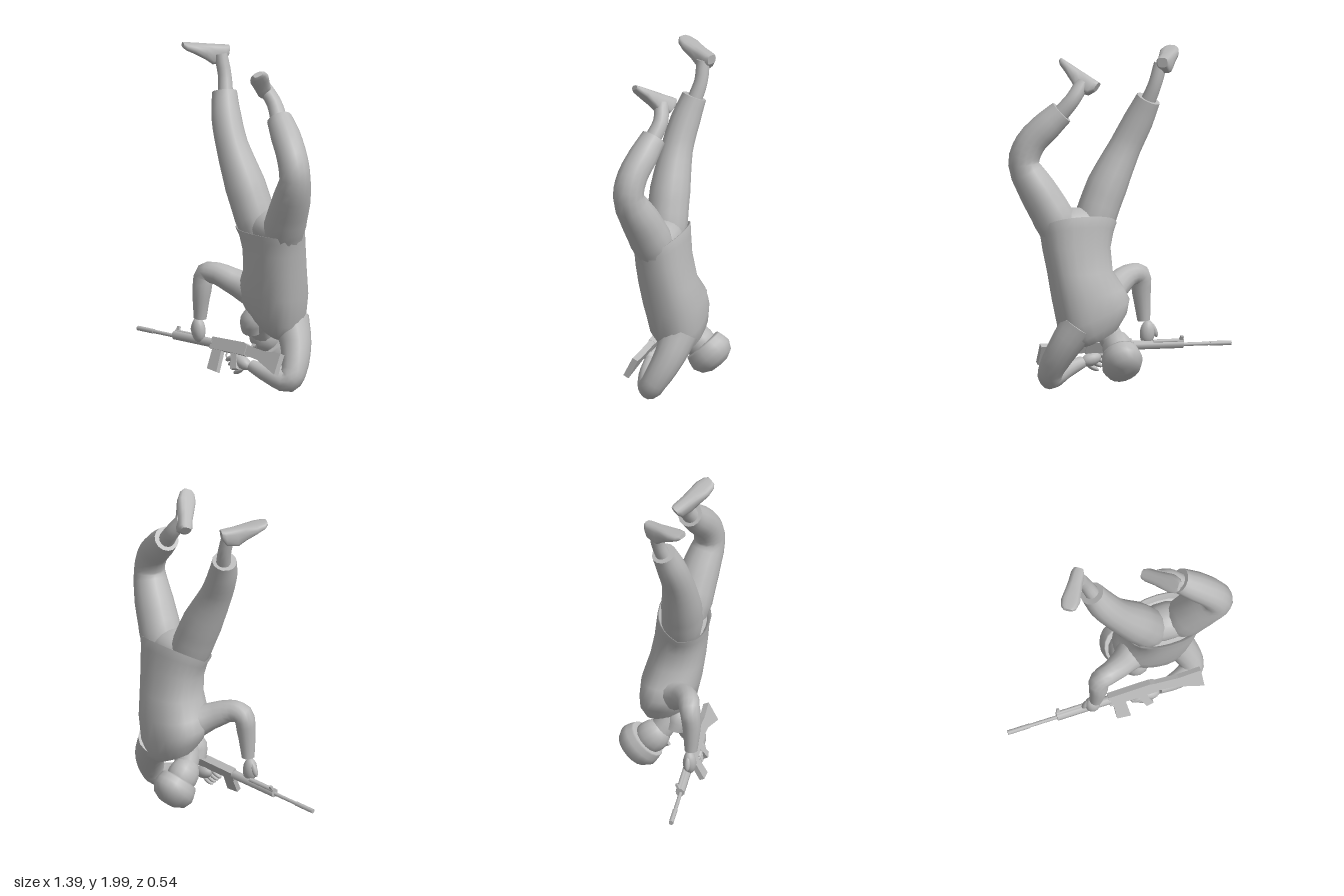
import * as THREE from 'three';

const V = (x, y, z) => new THREE.Vector3(x, y, z);
const mat = new THREE.MeshStandardMaterial({ color: 0xb9b9b9 });
mat.name = 'plain grey';

// Closed skin over a list of rings (each an array of points)
function skin(rings) {
  const n = rings[0].length, pos = [], idx = [];
  rings.forEach(r => r.forEach(p => pos.push(p.x, p.y, p.z)));
  for (let i = 0; i < rings.length - 1; i++) {
    for (let j = 0; j < n; j++) {
      const a = i * n + j, b = i * n + (j + 1) % n;
      idx.push(a, a + n, b, a + n, b + n, b);
    }
  }
  [rings[0], rings[rings.length - 1]].forEach((ring, end) => {
    const base = pos.length / 3, c = V(0, 0, 0);
    ring.forEach(p => { c.addScaledVector(p, 1 / n); pos.push(p.x, p.y, p.z); });
    pos.push(c.x, c.y, c.z);
    for (let j = 0; j < n; j++) {
      const a = base + j, b = base + (j + 1) % n;
      idx.push(base + n, end ? b : a, end ? a : b);
    }
  });
  const g = new THREE.BufferGeometry();
  g.setAttribute('position', new THREE.Float32BufferAttribute(pos, 3));
  g.setIndex(idx);
  g.computeVertexNormals();
  return g;
}

// Round limb through stations [x, y, z, radius]
function limb(st, sides = 14, sub = 3) {
  const curve = new THREE.CatmullRomCurve3(st.map(s => V(s[0], s[1], s[2])));
  const steps = (st.length - 1) * sub, rings = [];
  for (let i = 0; i <= steps; i++) {
    const u = i / steps, k = Math.min(Math.floor(i / sub), st.length - 2);
    const r = THREE.MathUtils.lerp(st[k][3], st[k + 1][3], i / sub - k);
    const c = curve.getPoint(u), t = curve.getTangent(u);
    const side = t.clone().cross(V(0, 0, 1)).normalize(), up = side.clone().cross(t);
    rings.push(Array.from({ length: sides }, (_, j) => {
      const a = j / sides * Math.PI * 2;
      return c.clone().addScaledVector(side, r * Math.cos(a)).addScaledVector(up, r * Math.sin(a));
    }));
  }
  return skin(rings);
}

const soft = (v, e) => Math.sign(v) * Math.abs(v) ** e;

// Torso rings: centre, half width, half depth, slope across x, rise towards the back
function torso(st, sides = 24) {
  return skin(st.map(([x, y, z, rx, rz, sx, rise]) => Array.from({ length: sides }, (_, j) => {
    const a = j / sides * Math.PI * 2;
    const dx = rx * soft(Math.cos(a), 0.85), dz = -rz * soft(Math.sin(a), 0.85);
    return V(x + dx, y + sx * dx - rise * Math.min(dz, 0), z + dz);
  })));
}

// Shoe from heel to toe, with the sole facing along soleDir
function shoe(heel, toe, soleDir) {
  const f = toe.clone().sub(heel), t = f.clone().normalize();
  const up = soleDir.clone().addScaledVector(t, -soleDir.dot(t)).normalize().negate();
  const side = up.clone().cross(t).negate();
  const rows = [[0, 0.03, 0.06], [0.08, 0.042, 0.1], [0.32, 0.045, 0.12], [0.5, 0.05, 0.09],
    [0.75, 0.057, 0.06], [0.93, 0.046, 0.042], [1, 0.028, 0.028]];
  return skin(rows.map(([u, w, h]) => Array.from({ length: 14 }, (_, j) => {
    const a = j / 14 * Math.PI * 2;
    return heel.clone().addScaledVector(f, u).addScaledVector(side, w * soft(Math.cos(a), 0.7))
      .addScaledVector(up, h * (0.5 + 0.5 * soft(Math.sin(a), 0.7)));
  })));
}

export function createModel() {
  const model = new THREE.Group();
  const add = (name, geo, parent = model, p = [0, 0, 0], r = [0, 0, 0], s = [1, 1, 1]) => {
    const m = new THREE.Mesh(geo, mat);
    m.name = name;
    m.position.set(...p); m.rotation.set(...r); m.scale.set(...s);
    parent.add(m);
    return m;
  };
  const ball = new THREE.SphereGeometry(1, 14, 10);

  // Jacket, hem at the top, shoulders at the bottom
  add('jacket', torso([
    [0.305, 0.93, 0.07, 0.205, 0.125, 0, 0.6],
    [0.305, 0.955, 0.07, 0.228, 0.143, 0, 0.62],
    [0.305, 0.955, 0.07, 0.237, 0.15, 0, 0.62],
    [0.309, 0.91, 0.06, 0.217, 0.149, 0, 0.5],
    [0.315, 0.83, 0.05, 0.2, 0.153, 0, 0.25],
    [0.302, 0.71, 0.03, 0.192, 0.163, 0, 0],
    [0.262, 0.58, 0.002, 0.212, 0.174, -0.15, 0],
    [0.232, 0.46, -0.015, 0.212, 0.162, -0.4, 0],
    [0.22, 0.38, -0.035, 0.18, 0.135, -0.5, 0],
    [0.205, 0.325, -0.045, 0.11, 0.085, -0.5, 0],
  ]));

  // Trousers
  add('rightTrouserLeg', limb([[0.225, 0.9, 0.07, 0.105], [0.185, 1.02, 0.08, 0.122], [0.11, 1.2, 0.09, 0.12],
    [0.0, 1.42, 0.09, 0.095], [-0.075, 1.58, 0.065, 0.088], [-0.125, 1.71, 0.03, 0.073]]));
  add('leftTrouserLeg', limb([[0.4, 0.9, 0.06, 0.11], [0.445, 1.02, 0.085, 0.125], [0.53, 1.18, 0.12, 0.115],
    [0.605, 1.34, 0.16, 0.092], [0.57, 1.46, 0.15, 0.09], [0.48, 1.565, 0.115, 0.088], [0.395, 1.65, 0.085, 0.075]]));
  add('trouserSeat', ball, model, [0.31, 0.97, 0.065], [0, 0, 0], [0.18, 0.11, 0.115]);

  // Ankles and shoes
  add('rightAnkle', limb([[-0.115, 1.68, 0.03, 0.045], [-0.155, 1.8, 0.0, 0.04], [-0.19, 1.92, 0.0, 0.04]]));
  add('leftAnkle', limb([[0.4, 1.64, 0.09, 0.05], [0.33, 1.73, 0.065, 0.045], [0.265, 1.82, 0.085, 0.042]]));
  add('rightShoe', shoe(V(-0.18, 1.965, -0.06), V(-0.32, 1.995, 0.18), V(0, 1, 0)));
  add('leftShoe', shoe(V(0.175, 1.82, 0.035), V(0.345, 1.945, 0.22), V(-0.65, 0.7, -0.1)));

  // Arms
  add('rightSleeve', limb([[0.14, 0.55, 0.03, 0.11], [0.05, 0.595, 0.1, 0.08], [-0.05, 0.642, 0.16, 0.066],
    [-0.125, 0.635, 0.185, 0.062], [-0.14, 0.53, 0.2, 0.056], [-0.155, 0.36, 0.2, 0.038]]));
  add('leftSleeve', limb([[0.34, 0.4, -0.06, 0.11], [0.42, 0.27, -0.025, 0.092], [0.475, 0.125, 0.045, 0.075],
    [0.465, 0.075, 0.08, 0.072], [0.36, 0.102, 0.135, 0.053], [0.24, 0.14, 0.165, 0.036]]));

  // Hands
  add('rightHand', ball, model, [-0.175, 0.285, 0.195], [0, 0, 0.1], [0.045, 0.075, 0.04]);
  add('rightThumb', ball, model, [-0.215, 0.3, 0.19], [0, 0, -0.4], [0.018, 0.045, 0.018]);
  add('leftHand', ball, model, [0.18, 0.15, 0.18], [0, 0, -0.3], [0.065, 0.04, 0.04]);
  for (let i = 0; i < 4; i++) {
    add('leftFinger', ball, model, [0.1 + i * 0.022, 0.165 - i * 0.022, 0.195], [0, 0, 0.5], [0.045, 0.015, 0.022]);
  }

  // Neck, head and helmet tilted backwards
  add('neck', limb([[0.2, 0.44, -0.01, 0.09], [0.15, 0.36, 0.0, 0.075], [0.11, 0.26, -0.06, 0.07]]));
  add('collar', limb([[0.17, 0.44, 0.05, 0.05], [0.14, 0.38, 0.065, 0.068], [0.12, 0.31, 0.045, 0.06]]));
  const head = new THREE.Group();
  head.name = 'head';
  head.position.set(0.105, 0.232, -0.11);
  head.rotation.x = -Math.PI * 0.75;
  model.add(head);
  add('face', ball, head, [0, -0.03, -0.005], [0, 0, 0], [0.09, 0.115, 0.1]);
  add('nose', new THREE.ConeGeometry(0.018, 0.05, 6), head, [0, -0.05, -0.1]);
  const dome = [[0, 0], [0.108, 0], [0.113, 0.01], [0.122, 0.045], [0.127, 0.08], [0.103, 0.128],
    [0.055, 0.155], [0, 0.16]].map(p => new THREE.Vector2(...p));
  add('helmet', new THREE.LatheGeometry(dome, 18), head, [0, 0, 0], [0, 0, 0], [0.95, 1, 1.12]);

  // Rifle, canted so its magazine leans forward
  const rifle = new THREE.Group();
  rifle.name = 'rifle';
  rifle.position.set(0, 0.222, 0.175);
  rifle.rotation.set(-0.45, 0, 0.03);
  model.add(rifle);
  const plate = (pts, depth) => {
    const g = new THREE.ExtrudeGeometry(new THREE.Shape(pts.map(p => new THREE.Vector2(...p))),
      { depth, bevelEnabled: false });
    return g.translate(0, 0, -depth / 2);
  };
  const tube = (name, x0, x1, r, y = 0) => add(name, new THREE.CylinderGeometry(r, r, x1 - x0, 8), rifle,
    [(x0 + x1) / 2, y, 0], [0, 0, Math.PI / 2]);
  tube('barrel', -0.693, -0.36, 0.011, -0.006);
  tube('muzzle', -0.693, -0.56, 0.014, -0.006);
  tube('handguard', -0.39, -0.06, 0.027);
  tube('gasTube', -0.39, -0.2, 0.012, 0.022);
  add('frontSight', plate([[-0.39, 0.01], [-0.36, 0.01], [-0.368, 0.055], [-0.385, 0.055]], 0.014), rifle);
  add('receiver', plate([[-0.07, -0.035], [0.22, -0.035], [0.22, 0.03], [0.19, 0.04], [-0.07, 0.035]], 0.045), rifle);
  add('magazine', plate([[-0.05, -0.03], [0.025, -0.03], [0.038, -0.165], [-0.045, -0.155]], 0.03), rifle);
  add('pistolGrip', plate([[0.1, -0.03], [0.15, -0.03], [0.185, -0.12], [0.14, -0.13]], 0.03), rifle);
  add('triggerGuard', new THREE.TorusGeometry(0.025, 0.005, 5, 10), rifle, [0.085, -0.045, 0]);
  add('stock', plate([[0.21, -0.03], [0.33, -0.045], [0.5, -0.11], [0.5, 0.02], [0.36, 0.015], [0.21, 0.03]], 0.036), rifle);

  return model;
}
